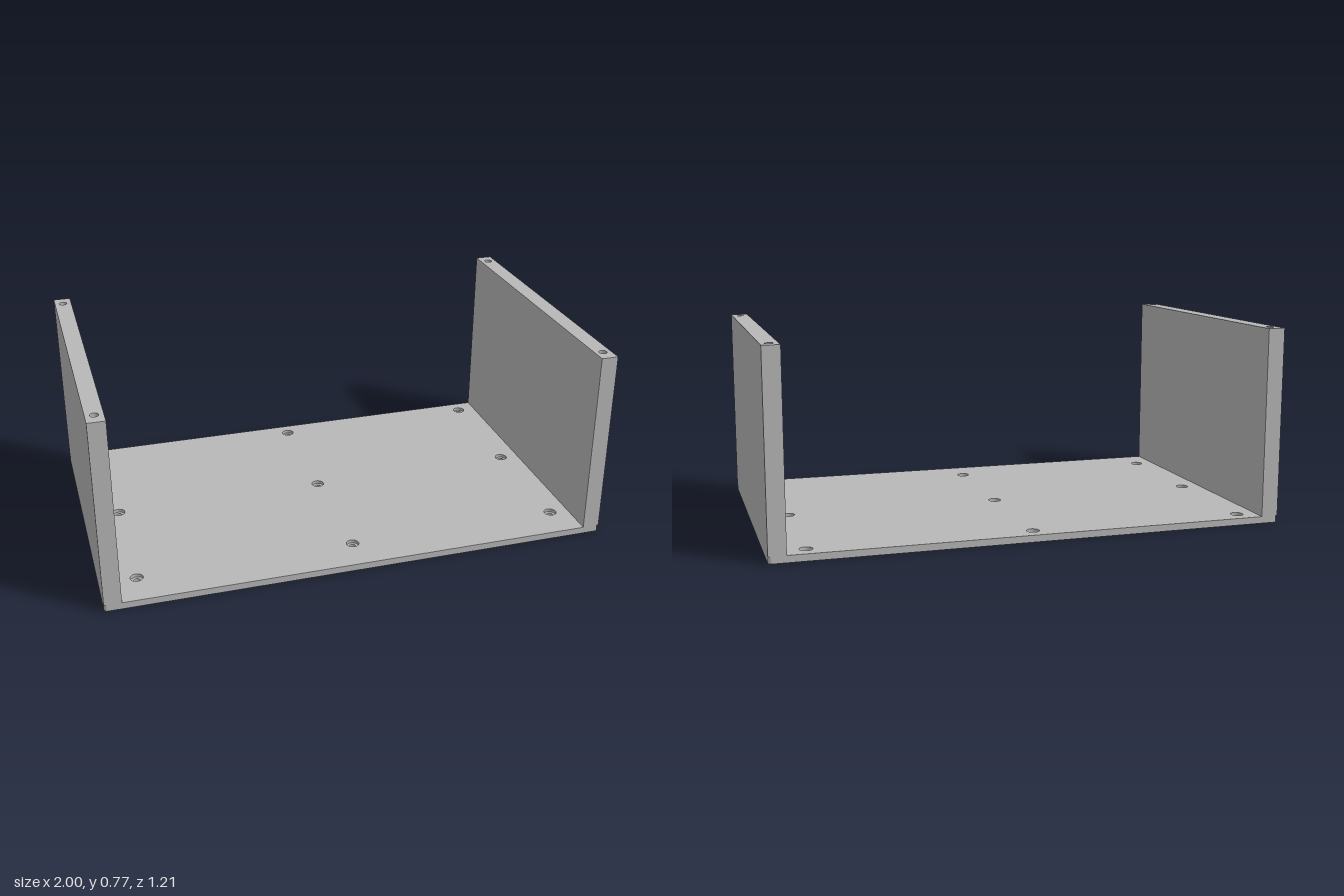
import * as THREE from 'three';

const HALF_X = 1, HALF_Z = 0.605, HEIGHT = 0.772;
const BASE = 0.027, WALL = 0.067, CORNER = 0.014;

// Rectangle outline with optional rounded corners; shape y is -z
function outline(w, d, r) {
  const s = new THREE.Shape(), x = w / 2, y = d / 2;
  if (r === 0) {
    s.moveTo(-x, -y).lineTo(x, -y).lineTo(x, y).lineTo(-x, y).closePath();
    return s;
  }
  s.moveTo(-x + r, -y);
  s.absarc(x - r, -y + r, r, -Math.PI / 2, 0);
  s.absarc(x - r, y - r, r, 0, Math.PI / 2);
  s.absarc(-x + r, y - r, r, Math.PI / 2, Math.PI);
  s.absarc(-x + r, -y + r, r, Math.PI, Math.PI * 1.5);
  return s;
}

// Horizontal slab from y0 to y1 pierced by round holes [x, z]
function slab(name, material, w, d, r, y0, y1, holes, holeRadius) {
  const shape = outline(w, d, r);
  for (const [x, z] of holes) {
    const hole = new THREE.Path();
    hole.absarc(x, -z, holeRadius, 0, Math.PI * 2, true);
    shape.holes.push(hole);
  }
  const geometry = new THREE.ExtrudeGeometry(shape, {
    depth: y1 - y0, bevelEnabled: false, curveSegments: 12,
  });
  geometry.rotateX(-Math.PI / 2).translate(0, y0, 0);
  const mesh = new THREE.Mesh(geometry, material);
  mesh.name = name;
  return mesh;
}

export function createModel() {
  const model = new THREE.Group();
  model.name = 'openTray';
  const grey = new THREE.MeshStandardMaterial({ color: 0xb8b8b8 });
  grey.name = 'grey';

  // Base plate in two layers, giving nine counterbored screw holes
  const screws = [];
  for (const x of [-0.857, 0, 0.857]) {
    for (const z of [-0.54, -0.04, 0.457]) screws.push([x, z]);
  }
  const base = new THREE.Group();
  base.name = 'basePlate';
  base.add(
    slab('baseLower', grey, 2 * HALF_X, 2 * HALF_Z, CORNER, 0, BASE / 2, screws, 0.013),
    slab('baseUpper', grey, 2 * HALF_X, 2 * HALF_Z, CORNER, BASE / 2, BASE, screws, 0.025),
  );
  model.add(base);

  // Side walls with blind screw holes in the top edge
  const floorOfHole = HEIGHT - 0.1;
  for (const [name, side] of [['leftWall', 1], ['rightWall', -1]]) {
    const wall = new THREE.Group();
    wall.name = name;
    const holes = [[0, -0.55], [0, 0.547]];
    wall.add(
      slab(name + 'Lower', grey, WALL, 2 * HALF_Z, 0, BASE, floorOfHole, [], 0),
      slab(name + 'Upper', grey, WALL, 2 * HALF_Z, 0, floorOfHole, HEIGHT, holes, 0.016),
    );
    wall.position.x = side * (HALF_X - WALL / 2);
    model.add(wall);
  }
  return model;
}
